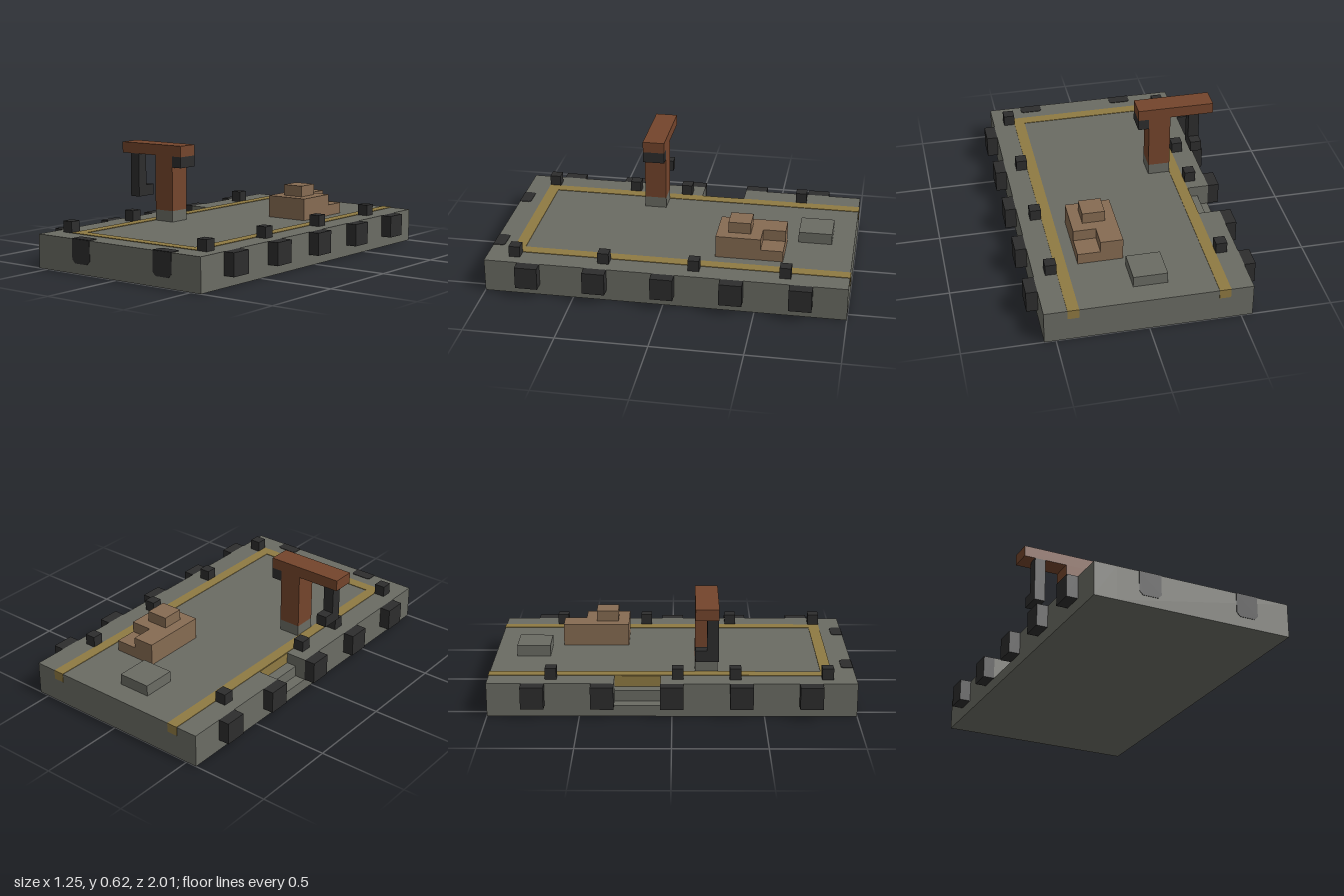
import * as THREE from 'three';

const U = 0.0625; // grid unit of the blocky design
const T = 0.003;  // thickness of painted plates

const mat = (name, color) => {
  const m = new THREE.MeshStandardMaterial({ color });
  m.name = name;
  return m;
};

export function createModel() {
  const concrete = mat('concrete grey', 0x6a6b63);
  const yellow = mat('faded yellow', 0x8f7a42);
  const rubber = mat('rubber black', 0x2d2d2d);
  const rust = mat('rust brown', 0x74452c);
  const wood = mat('crate tan', 0x866b52);

  const root = new THREE.Group();
  root.name = 'dock';

  // Box given by its limits along each axis
  const box = (parent, name, m, x0, x1, y0, y1, z0, z1) => {
    const mesh = new THREE.Mesh(new THREE.BoxGeometry(x1 - x0, y1 - y0, z1 - z0), m);
    mesh.position.set((x0 + x1) / 2, (y0 + y1) / 2, (z0 + z1) / 2);
    mesh.name = name;
    parent.add(mesh);
    return mesh;
  };
  // Same, with limits in grid units
  const block = (parent, name, m, ...limits) => box(parent, name, m, ...limits.map((v) => v * U));
  const group = (name) => {
    const g = new THREE.Group();
    g.name = name;
    root.add(g);
    return g;
  };

  // Pier body with a stair notch on the -x side
  const pier = group('pier');
  block(pier, 'pierBody', concrete, -7, 9, 0, 3, -16, 16);
  block(pier, 'edgeBack', concrete, -9, -7, 0, 3, -16, -5);
  block(pier, 'edgeFront', concrete, -9, -7, 0, 3, -1, 16);
  block(pier, 'upperStep', concrete, -8, -7, 0, 2, -5, -1);
  block(pier, 'lowerStep', concrete, -9, -8, 0, 1, -5, -1);

  // Painted safety line around the deck
  const line = group('safetyLine');
  const top = 3 * U;
  for (const x of [-7, 6]) {
    box(line, 'sideLine', yellow, x * U, (x + 1) * U, top - T, top + T, -1, 14 * U);
    box(line, 'lineEnd', yellow, x * U, (x + 1) * U, 2.2 * U, top + T, -1 - T, -1 + T);
  }
  box(line, 'frontLine', yellow, -6 * U, 6 * U, top - T, top + T, 13 * U, 14 * U);
  box(line, 'notchLine', yellow, -7 * U - T, -7 * U + T, 2 * U, top, -5 * U, -U);

  // Side fenders
  const fenders = group('fenders');
  for (const z of [-13, -7, -1, 5, 11]) {
    block(fenders, 'sideFender', rubber, 9, 10, 1, 3, z, z + 2);
    block(fenders, 'sideFender', rubber, -10, -9, 1, 3, z, z + 2);
  }

  // Flush front fenders with clipped corners, wrapping onto the deck
  const clippedPlate = (w, h, c) => {
    const s = new THREE.Shape();
    s.moveTo(-w / 2, 0);
    s.lineTo(-w / 2, -h + c);
    s.lineTo(-w / 2 + c, -h);
    s.lineTo(w / 2 - c, -h);
    s.lineTo(w / 2, -h + c);
    s.lineTo(w / 2, 0);
    return new THREE.ExtrudeGeometry(s, { depth: T, bevelEnabled: false });
  };
  for (const x of [-4, 5]) {
    const face = new THREE.Mesh(clippedPlate(2 * U, 2.1 * U, 0.02), rubber);
    face.name = 'frontFender';
    face.position.set(x * U, top, 1);
    const cap = new THREE.Mesh(clippedPlate(2 * U, 1.05 * U, 0.012), rubber);
    cap.name = 'frontFenderTop';
    cap.rotation.set(-Math.PI / 2, 0, Math.PI);
    cap.position.set(x * U, top, 1);
    fenders.add(face, cap);
  }

  // Mooring bollards
  const bollards = group('bollards');
  for (const [x, zs] of [[7, [-11, -3, 5, 13]], [-8, [-11, 0, 5, 13]]]) {
    for (const z of zs) block(bollards, 'bollard', rubber, x, x + 1, 3, 4, z, z + 1);
  }

  // Crane
  const crane = group('crane');
  block(crane, 'cranePedestal', concrete, -6, -4, 3, 4, 2, 4);
  block(crane, 'craneColumn', rust, -6, -4, 4, 9, 2, 4);
  block(crane, 'craneBeam', rust, -10, -3, 9, 10, 2, 4);
  block(crane, 'craneMotor', rubber, -4, -3, 8, 9, 2, 4);
  block(crane, 'craneCable', rubber, -9, -8, 5, 9, 3, 4);
  block(crane, 'craneHook', rubber, -9, -8, 5, 6, 2, 3);

  // Stacked crates, one corner lower than the rest
  const crates = group('crates');
  block(crates, 'crateFront', wood, 1, 5, 3, 5, -8, -4);
  block(crates, 'crateBack', wood, 1, 3, 3, 5, -10, -8);
  block(crates, 'crateLow', wood, 3, 5, 3, 4, -10, -8);
  block(crates, 'crateTop', wood, 2, 4, 5, 6, -7, -5);

  // Raised deck hatch
  block(root, 'deckHatch', concrete, -2, 1, 3, 4, -14, -11);

  return root;
}
